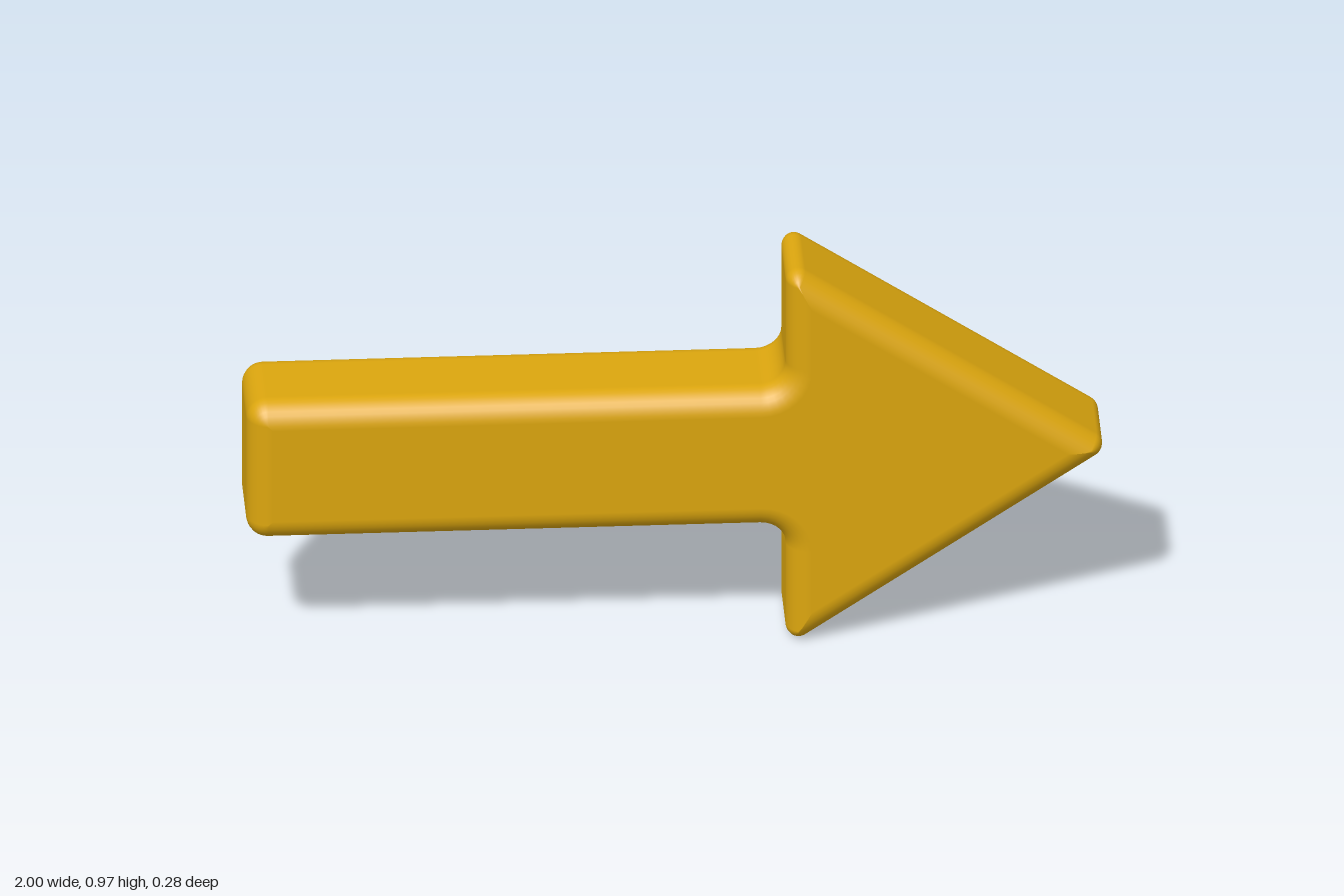
import * as THREE from 'three';

const CY = 0.485;          // height of the arrow's axis
const BEVEL = 0.06;        // rounding towards front and back faces
const HALF_CORE = 0.08;    // half depth of the straight side walls
const ARC = 8;             // segments per rounded corner and bevel

// Sharp outline, counter-clockwise: [x, y relative to axis, corner radius]
const lower = [[-1, -0.18, 0.05], [0.26, -0.18, 0.06], [0.26, -0.51, 0.03]];
const outline = [
  ...lower,
  [1.024, 0, 0.03],
  ...lower.map(([x, y, r]) => [x, -y, r]).reverse(),
];

// Outline moved inwards by d, with its corners rounded; also gives outward normals
function ring(d) {
  const points = [];
  const at = (i) => new THREE.Vector2(outline[i][0], outline[i][1] + CY);
  const count = outline.length;
  for (let i = 0; i < count; i++) {
    const p = at(i);
    const r = outline[i][2];
    const u = p.clone().sub(at((i + count - 1) % count)).normalize();
    const v = at((i + 1) % count).sub(p).normalize();
    const inU = new THREE.Vector2(-u.y, u.x);
    const inV = new THREE.Vector2(-v.y, v.x);
    const miter = inU.clone().add(inV).divideScalar(1 + inU.dot(inV));
    const turn = Math.atan2(u.cross(v), u.dot(v));
    const convex = turn > 0;
    const center = p.addScaledVector(miter, convex ? Math.max(r, d) : -r);
    const radius = convex ? Math.max(r - d, 0) : -(r + d);
    const start = Math.atan2(-inU.y, -inU.x);
    for (let k = 0; k <= ARC; k++) {
      const a = start + (turn * k) / ARC;
      const n = new THREE.Vector2(Math.cos(a), Math.sin(a));
      points.push({ p: center.clone().addScaledVector(n, radius), n });
    }
  }
  return points;
}

function arrowGeometry() {
  const positions = [], normals = [], index = [];

  // Rings from the back face to the front face
  const n = outline.length * (ARC + 1);
  const rings = 2 * (ARC + 1);
  for (let k = 0; k < rings; k++) {
    const front = k > ARC;
    const t = ((front ? k - ARC - 1 : k - ARC) / ARC) * Math.PI / 2;
    const z = (front ? HALF_CORE : -HALF_CORE) + BEVEL * Math.sin(t);
    for (const { p, n: o } of ring(BEVEL * (1 - Math.cos(t)))) {
      positions.push(p.x, p.y, z);
      normals.push(o.x * Math.cos(t), o.y * Math.cos(t), Math.sin(t));
    }
  }
  for (let k = 0; k < rings - 1; k++) {
    for (let i = 0; i < n; i++) {
      const j = (i + 1) % n;
      const a = k * n + i, b = k * n + j;
      index.push(a, b, b + n, a, b + n, a + n);
    }
  }

  // Flat front and back faces
  const contour = ring(BEVEL).map(({ p }) => p);
  const last = (rings - 1) * n;
  for (const [a, b, c] of THREE.ShapeUtils.triangulateShape(contour, [])) {
    index.push(last + a, last + b, last + c, a, c, b);
  }

  const geometry = new THREE.BufferGeometry();
  geometry.setAttribute('position', new THREE.Float32BufferAttribute(positions, 3));
  geometry.setAttribute('normal', new THREE.Float32BufferAttribute(normals, 3));
  geometry.setIndex(index);
  return geometry;
}

export function createModel() {
  const group = new THREE.Group();
  group.name = 'arrow';
  const gold = new THREE.MeshStandardMaterial({ color: 0xdca60e });
  gold.name = 'gold';
  const body = new THREE.Mesh(arrowGeometry(), gold);
  body.name = 'arrowBody';
  group.add(body);
  return group;
}
